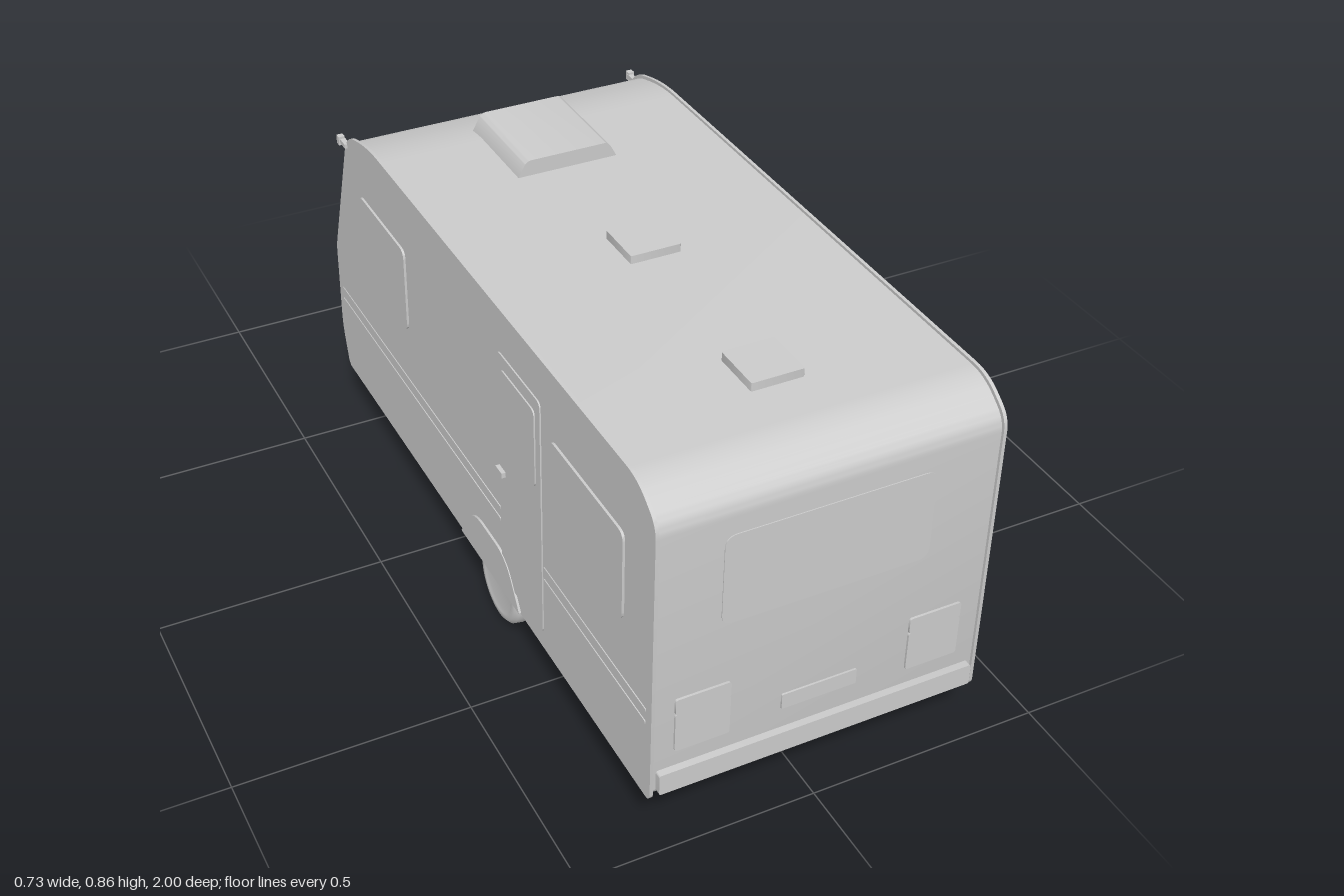
import * as THREE from 'three';
import { toCreasedNormals } from 'three/addons/utils/BufferGeometryUtils.js';

const grey = new THREE.MeshStandardMaterial({ color: 0xcccccc });
grey.name = 'pale grey';

const V = (x, y, z) => new THREE.Vector3(x, y, z);

// Closed polygon with rounded corners; each point is [u, v, radius]
function roundedShape(points) {
  const s = new THREE.Shape();
  const n = points.length;
  points.forEach(([u, v, r], i) => {
    const p = new THREE.Vector2(u, v);
    const toward = ([a, b]) => new THREE.Vector2(a, b).sub(p).setLength(r).add(p);
    const a = toward(points[(i + n - 1) % n]);
    const b = toward(points[(i + 1) % n]);
    if (i === 0) s.moveTo(a.x, a.y);
    else s.lineTo(a.x, a.y);
    s.quadraticCurveTo(u, v, b.x, b.y);
  });
  s.closePath();
  return s;
}

function extrude(shape, depth) {
  const g = new THREE.ExtrudeGeometry(shape, { depth, bevelEnabled: false, curveSegments: 8 });
  return toCreasedNormals(g, 0.5);
}

// Side profile of the cabin, grown outward by e
function cabinProfile(e) {
  const pts = [
    [0.985, 0.135, 0.02], [0.985, 0.768, 0.03], [0.915, 0.821, 0.04], [-0.33, 0.821, 0.06],
    [-0.465, 0.785, 0.05], [-0.59, 0.45, 0.02], [-0.59, 0.23, 0.03], [-0.56, 0.135, 0.015],
  ];
  return roundedShape(pts.map(([z, y, r]) => [z + e * Math.sign(z - 0.2), y + e * Math.sign(y - 0.5), r]));
}

export function createModel() {
  const model = new THREE.Group();
  model.name = 'caravan';

  const add = (name, geo, x = 0, y = 0, z = 0) => {
    const m = new THREE.Mesh(geo, grey);
    m.name = name;
    m.position.set(x, y, z);
    model.add(m);
    return m;
  };
  const box = (name, w, h, d, x, y, z) => add(name, new THREE.BoxGeometry(w, h, d), x, y, z);

  // Thin rounded plate lying on a surface, facing along the normal
  const plate = (name, w, h, r, t, pos, normal) => {
    const a = w / 2, b = h / 2;
    const g = extrude(roundedShape([[-a, -b, r], [a, -b, r], [a, b, r], [-a, b, r]]), t);
    const m = add(name, g, pos.x, pos.y, pos.z);
    m.lookAt(pos.clone().add(normal));
    return m;
  };
  // Straight bar between two points
  const beam = (name, a, b, w, h) => {
    const m = box(name, w, h, a.distanceTo(b), 0, 0, 0);
    m.position.copy(a).add(b).multiplyScalar(0.5);
    m.lookAt(b);
    return m;
  };
  // Plate on a side wall, from z0 to z1 and y0 to y1
  const sidePlate = (name, s, z0, z1, y0, y1, r = 0.02, t = 0.006, x = 0.351) =>
    plate(name, z1 - z0, y1 - y0, r, t, V(s * x, (y0 + y1) / 2, (z0 + z1) / 2), V(s, 0, 0));

  // Cabin skin and slightly larger side walls
  const slab = (name, e, x0, x1) => {
    const g = extrude(cabinProfile(e), x1 - x0);
    g.rotateY(-Math.PI / 2).translate(x1, 0, 0);
    add(name, g);
  };
  slab('cabinShell', 0, -0.347, 0.347);
  slab('rightWall', 0.006, -0.352, -0.345);
  slab('leftWall', 0.006, 0.345, 0.352);

  // Side windows
  for (const s of [-1, 1]) {
    sidePlate('sideWindow', s, -0.4, -0.14, 0.48, 0.68);
    sidePlate('sideWindow', s, 0.58, 0.88, 0.48, 0.68);
  }
  sidePlate('sideWindow', 1, 0.01, 0.245, 0.48, 0.68);

  // Entrance door
  sidePlate('door', -1, 0.34, 0.535, 0.17, 0.73, 0.015, 0.004);
  sidePlate('doorWindow', -1, 0.36, 0.515, 0.52, 0.7, 0.015, 0.004, 0.354);
  box('doorHandle', 0.012, 0.012, 0.03, -0.358, 0.45, 0.355);

  // Trim lines along the walls
  for (const y of [0.308, 0.338]) {
    sidePlate('trimLine', 1, -0.57, 0.97, y, y + 0.007, 0.002, 0.003);
    sidePlate('trimLine', -1, -0.57, 0.335, y, y + 0.007, 0.002, 0.003);
    sidePlate('trimLine', -1, 0.54, 0.97, y, y + 0.007, 0.002, 0.003);
  }

  // Wheel arches, wheels and axle
  const arch = extrude(roundedShape([
    [-0.15, 0.131, 0.005], [0.15, 0.131, 0.005], [0.085, 0.232, 0.05], [-0.085, 0.232, 0.05],
  ]), 0.006);
  const tyre = new THREE.LatheGeometry([
    [0, -0.022], [0.062, -0.022], [0.068, -0.027], [0.082, -0.026], [0.091, -0.018], [0.0935, 0],
    [0.091, 0.018], [0.082, 0.026], [0.068, 0.027], [0.062, 0.022], [0, 0.022],
  ].map(([r, y]) => new THREE.Vector2(r, y)), 40);
  tyre.rotateZ(Math.PI / 2);
  for (const s of [-1, 1]) {
    add('wheelArch', arch, s * 0.351, 0, 0.275).rotation.y = s * Math.PI / 2;
    add('wheel', tyre, s * 0.313, 0.0935, 0.275);
  }

  // Flat end: window, lamps, plate holder and bumper
  const out = V(0, 0, 1);
  plate('endWindow', 0.43, 0.2, 0.025, 0.003, V(0, 0.6, 0.984), out);
  for (const s of [-1, 1]) {
    plate('lampLower', 0.113, 0.09, 0.006, 0.006, V(s * 0.246, 0.28, 0.984), out);
    plate('lampUpper', 0.113, 0.036, 0.006, 0.006, V(s * 0.246, 0.342, 0.984), out);
  }
  plate('plateHolder', 0.16, 0.035, 0.002, 0.005, V(0, 0.263, 0.984), out);
  plate('bumper', 0.674, 0.048, 0.005, 0.016, V(0, 0.172, 0.984), out);

  // Sloping end: large window, locker hatch and marker lamps
  const slope = V(0, 0.125, -0.335).normalize();
  plate('slopedWindow', 0.57, 0.31, 0.01, 0.007, V(0, 0.618, -0.528), slope);
  plate('lockerHatch', 0.33, 0.15, 0.015, 0.005, V(0, 0.337, -0.589), V(0, 0, -1));
  for (const s of [-1, 1]) {
    box('markerArm', 0.012, 0.01, 0.035, s * 0.352, 0.766, -0.485);
    box('markerLamp', 0.014, 0.02, 0.014, s * 0.354, 0.766, -0.503);
  }

  // Roof hatches and air conditioner
  for (const z of [0.255, 0.725]) {
    const hatch = plate('roofHatch', 0.11, 0.11, 0.004, 0.02, V(0, 0.819, z), V(0, 1, 0));
    hatch.rotation.set(-Math.PI / 2, 0, 0);
  }
  const cooler = extrude(roundedShape([
    [-0.116, 0.815, 0.002], [0.116, 0.815, 0.002], [0.094, 0.856, 0.012], [-0.094, 0.856, 0.012],
  ]), 0.235);
  add('airConditioner', cooler, 0, 0, -0.325);

  // Chassis rails, drawbar and corner steadies
  for (const s of [-1, 1]) {
    box('chassisRail', 0.014, 0.042, 1.445, s * 0.197, 0.114, 0.132);
    beam('drawbar', V(s * 0.197, 0.116, -0.5), V(s * 0.004, 0.14, -0.905), 0.02, 0.022);
    for (const [top, foot] of [[0.905, 0.805], [-0.46, -0.37]]) {
      box('steadyBracket', 0.024, 0.025, 0.03, s * 0.195, 0.118, top);
      beam('steadyLeg', V(s * 0.195, 0.11, top), V(s * 0.195, 0.008, foot), 0.012, 0.01);
      box('steadyFoot', 0.038, 0.011, 0.045, s * 0.195, 0.0065, foot);
    }
  }
  box('crossMember', 0.39, 0.02, 0.02, 0, 0.122, 0.275);

  // Coupling with its lever
  box('couplingNeck', 0.016, 0.018, 0.06, 0, 0.142, -0.88);
  box('couplingHead', 0.03, 0.036, 0.096, 0, 0.14, -0.952);
  beam('couplingLever', V(0, 0.155, -0.915), V(0, 0.197, -0.938), 0.01, 0.008);
  beam('couplingLever', V(0, 0.197, -0.938), V(0, 0.18, -0.995), 0.012, 0.008);

  // Jockey wheel
  const jx = -0.062, jz = -0.79;
  const disc = new THREE.CylinderGeometry(0.03, 0.03, 0.018, 24).rotateZ(Math.PI / 2);
  add('jockeyWheel', toCreasedNormals(disc, 0.5), jx, 0.031, jz);
  add('jockeyTube', new THREE.CylinderGeometry(0.01, 0.01, 0.14, 16), jx, 0.125, jz);
  add('jockeyStem', new THREE.CylinderGeometry(0.007, 0.007, 0.23, 16), jx, 0.15, jz);
  box('jockeyHandle', 0.012, 0.01, 0.06, jx, 0.266, jz);
  box('jockeyClamp', 0.03, 0.02, 0.024, jx + 0.012, 0.134, jz);

  return model;
}
